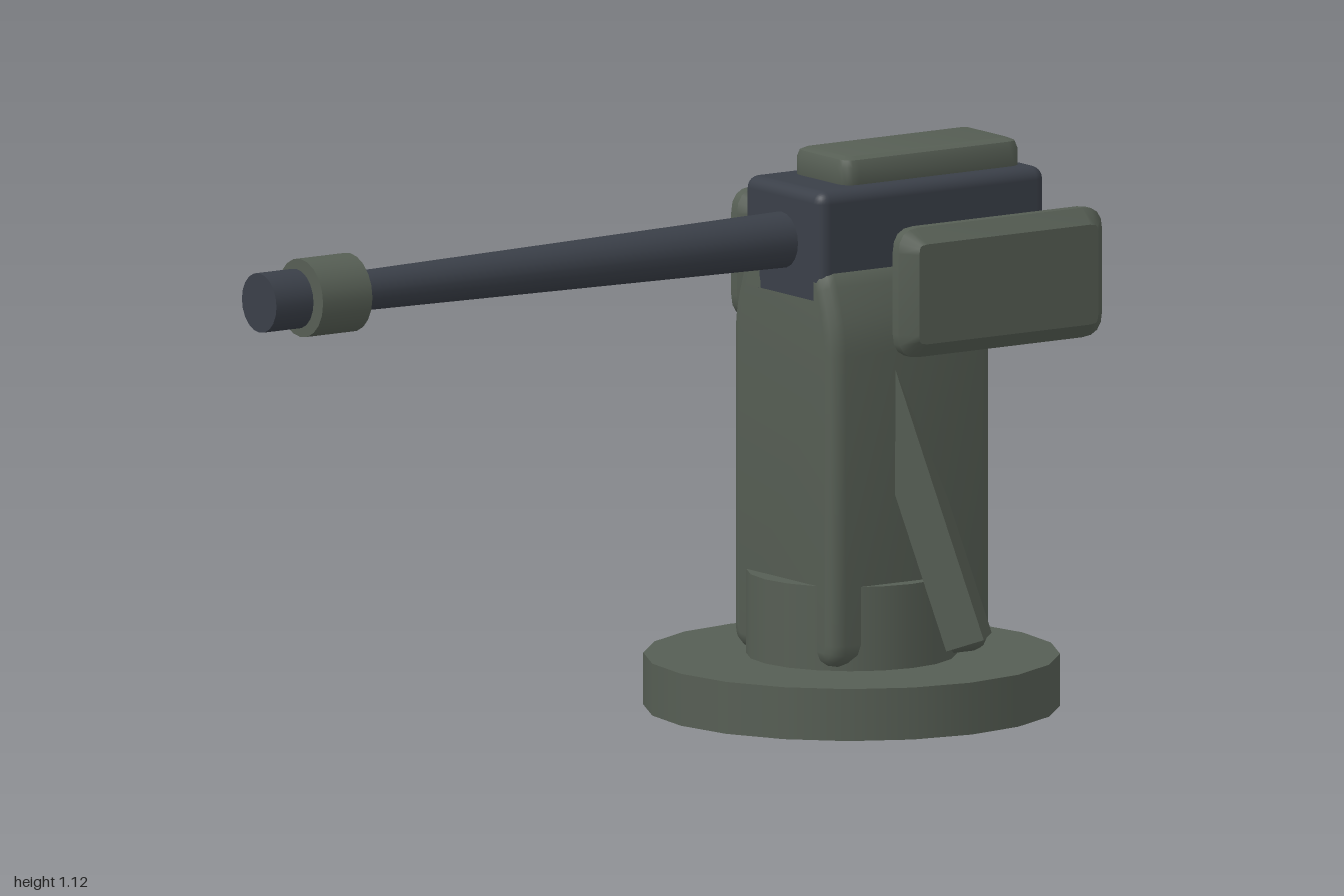
import * as THREE from 'three';
import { toCreasedNormals } from 'three/addons/utils/BufferGeometryUtils.js';
import { RoundedBoxGeometry } from 'three/addons/geometries/RoundedBoxGeometry.js';

// Closed polygon with softened corners
function roundedShape(points, r) {
  const pts = points.map(([x, y]) => new THREE.Vector2(x, y));
  const shape = new THREE.Shape();
  pts.forEach((p, i) => {
    const prev = pts[(i + pts.length - 1) % pts.length];
    const next = pts[(i + 1) % pts.length];
    const a = p.clone().add(prev.clone().sub(p).setLength(r));
    const b = p.clone().add(next.clone().sub(p).setLength(r));
    if (i === 0) shape.moveTo(a.x, a.y); else shape.lineTo(a.x, a.y);
    shape.quadraticCurveTo(p.x, p.y, b.x, b.y);
  });
  shape.closePath();
  return shape;
}

// Slab centred on z = 0 with bevelled rims; the outline keeps its full size
function bevelledSlab(points, depth, bevel, segments, r = bevel * 1.6) {
  const geo = new THREE.ExtrudeGeometry(roundedShape(points, r), {
    depth: depth - 2 * bevel, bevelSize: bevel, bevelThickness: bevel,
    bevelOffset: -bevel, bevelSegments: segments, curveSegments: 4,
  });
  geo.translate(0, 0, bevel - depth / 2);
  return toCreasedNormals(geo, 0.7);
}

const rect = (w, h) => [[-w / 2, -h / 2], [w / 2, -h / 2], [w / 2, h / 2], [-w / 2, h / 2]];

export function createModel() {
  const model = new THREE.Group();
  model.name = 'deckGun';
  const green = new THREE.MeshStandardMaterial({ color: 0x565e54 });
  green.name = 'greyGreen';
  const dark = new THREE.MeshStandardMaterial({ color: 0x3a3f48 });
  dark.name = 'gunmetal';

  const add = (name, geo, mat, x = 0, y = 0, z = 0) => {
    const mesh = new THREE.Mesh(geo, mat);
    mesh.name = name;
    mesh.position.set(x, y, z);
    model.add(mesh);
    return mesh;
  };

  // Round base and raised ring
  const axisZ = -0.44;
  add('base', new THREE.CylinderGeometry(0.415, 0.415, 0.105, 20), green, 0, 0.0525, axisZ);
  add('pedestalRing', new THREE.CylinderGeometry(0.21, 0.21, 0.18, 20), green, 0, 0.185, axisZ);

  // Column with sloped shoulders
  const column = [[-0.18, 0.11], [0.18, 0.11], [0.18, 0.79], [0.135, 0.925], [-0.135, 0.925], [-0.18, 0.79]];
  add('column', bevelledSlab(column, 0.39, 0.03, 3), green, 0, 0, -0.465);

  // Gun housing and its cover
  add('housing', new RoundedBoxGeometry(0.27, 0.245, 0.55, 3, 0.025), dark, 0, 0.9475, -0.545);
  const cover = bevelledSlab(rect(0.19, 0.43), 0.075, 0.02, 2);
  cover.rotateX(-Math.PI / 2);
  add('topCover', cover, green, 0, 1.0875, -0.575);

  // Tapered barrel, collar and muzzle along +z
  const tube = (name, mat, rBack, rFront, z0, z1) => {
    const geo = new THREE.CylinderGeometry(rFront, rBack, z1 - z0, 20);
    geo.rotateX(Math.PI / 2);
    add(name, geo, mat, 0, 0.958, (z0 + z1) / 2);
  };
  tube('barrel', dark, 0.057, 0.037, -0.3, 0.95);
  tube('barrelCollar', green, 0.079, 0.079, 0.78, 0.9);
  tube('muzzle', dark, 0.06, 0.06, 0.91, 1.0);

  // Sloping rear handle
  const handle = add('rearHandle', new THREE.BoxGeometry(0.058, 0.055, 0.25), green, 0, 0.815, -0.878);
  handle.rotation.x = -Math.PI / 6;

  // Side panels and slanted rear braces, mirrored
  const panel = bevelledSlab(rect(0.495, 0.262), 0.08, 0.03, 1);
  panel.rotateY(Math.PI / 2);
  const foot = new THREE.Vector3(0.25, 0.152, -0.55);
  const up = new THREE.Vector3(-0.2385, 1, 0.23).normalize();
  const across = new THREE.Vector3(1, 0, 1).normalize();
  const outward = new THREE.Vector3().crossVectors(across, up).normalize();
  across.crossVectors(up, outward);
  for (const side of [1, -1]) {
    const label = side > 0 ? 'left' : 'right';
    add(label + 'Panel', panel, green, side * 0.28, 0.88, -0.598);
    const u = up.clone(), o = outward.clone(), f = foot.clone();
    u.x *= side; o.x *= side; f.x *= side;
    const brace = add(label + 'Brace', new THREE.BoxGeometry(0.09, 0.63, 0.08), green);
    brace.quaternion.setFromRotationMatrix(
      new THREE.Matrix4().makeBasis(new THREE.Vector3().crossVectors(u, o), u, o));
    brace.position.copy(f).addScaledVector(u, 0.315);
  }
  return model;
}
